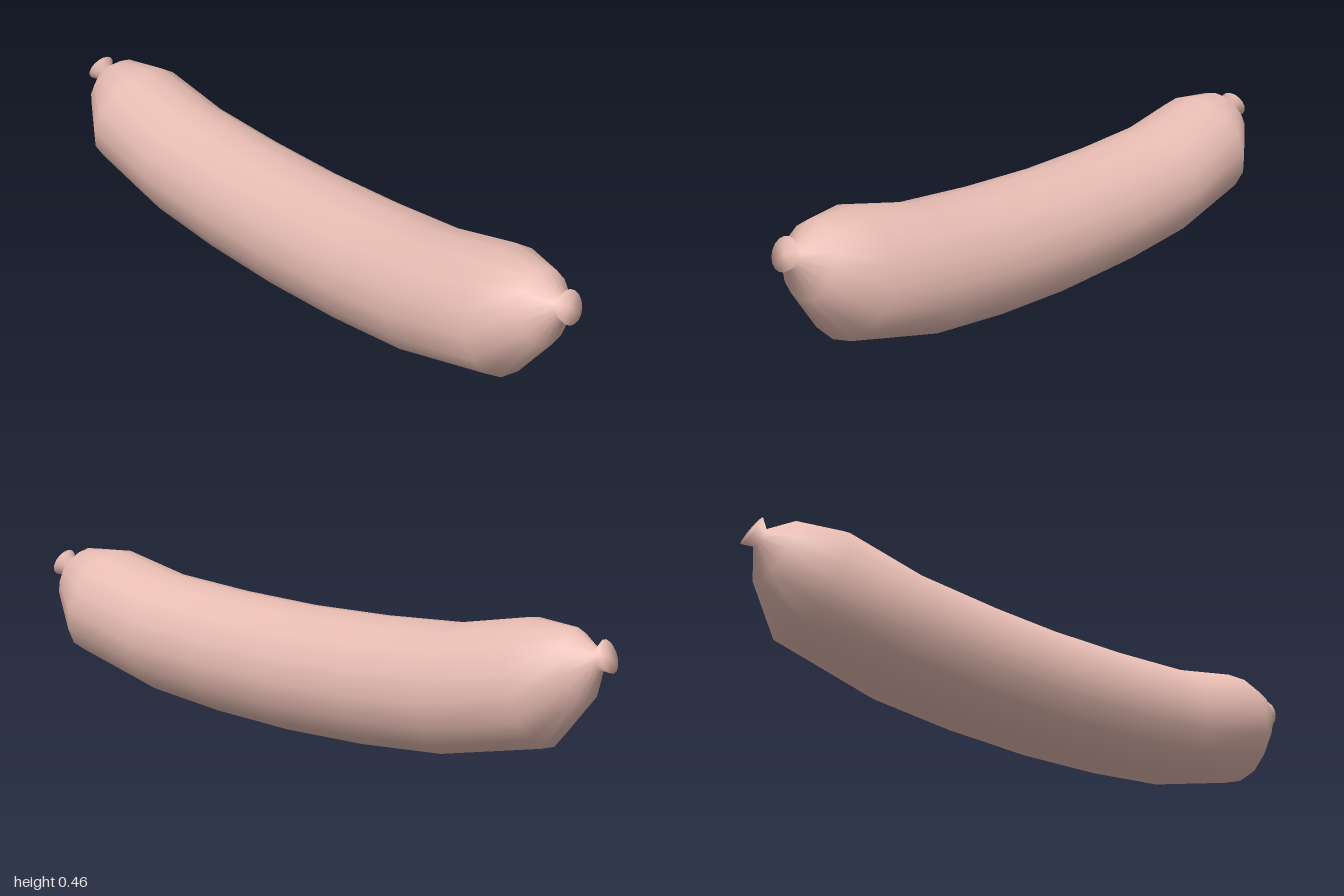
import * as THREE from 'three';

const SIDES = 16;

// Half of the casing, middle to tip: [top x, top y, bottom x, bottom y, half depth]
const HALF = [
  [0, 0.385, 0, 0.0, 0.19],
  [0.26, 0.392, 0.27, 0.009, 0.19],
  [0.52, 0.41, 0.53, 0.034, 0.188],
  [0.74, 0.459, 0.84, 0.113, 0.18],
  [0.87, 0.451, 0.94, 0.255, 0.101],
  [0.945, 0.405, 0.966, 0.35, 0.03],  // pinched neck
  [0.962, 0.433, 1.0, 0.348, 0.047],  // flared tip
];

// Skin a row of tilted elliptical rings running along +x, closed at both ends
function loft(rings) {
  const pos = [], index = [];
  for (const [tx, ty, bx, by, w] of rings) {
    for (let j = 0; j < SIDES; j++) {
      const a = (j / SIDES) * Math.PI * 2;
      const k = (1 + Math.cos(a)) / 2;
      pos.push(bx + (tx - bx) * k, by + (ty - by) * k, w * Math.sin(a));
    }
  }
  for (let i = 0; i < rings.length - 1; i++) {
    for (let j = 0; j < SIDES; j++) {
      const n = (j + 1) % SIDES;
      const a = i * SIDES + j, b = i * SIDES + n;
      index.push(a, b, a + SIDES, b, b + SIDES, a + SIDES);
    }
  }
  // End caps
  for (const end of [0, rings.length - 1]) {
    const [tx, ty, bx, by] = rings[end];
    const centre = pos.length / 3;
    pos.push((tx + bx) / 2, (ty + by) / 2, 0);
    for (let j = 0; j < SIDES; j++) {
      const a = end * SIDES + j, b = end * SIDES + ((j + 1) % SIDES);
      if (end) index.push(centre, a, b);
      else index.push(centre, b, a);
    }
  }
  const geo = new THREE.BufferGeometry();
  geo.setAttribute('position', new THREE.Float32BufferAttribute(pos, 3));
  geo.setIndex(index);
  geo.computeVertexNormals();
  return geo;
}

export function createModel() {
  const group = new THREE.Group();
  group.name = 'sausage';

  // Mirror the half profile to get the full curved casing with both tied ends
  const mirrored = HALF.slice(1).reverse().map(([tx, ty, bx, by, w]) => [-tx, ty, -bx, by, w]);
  const casing = new THREE.Mesh(
    loft([...mirrored, ...HALF]),
    new THREE.MeshStandardMaterial({ color: 0xe8bdb3 })
  );
  casing.name = 'casing';
  group.add(casing);
  return group;
}
